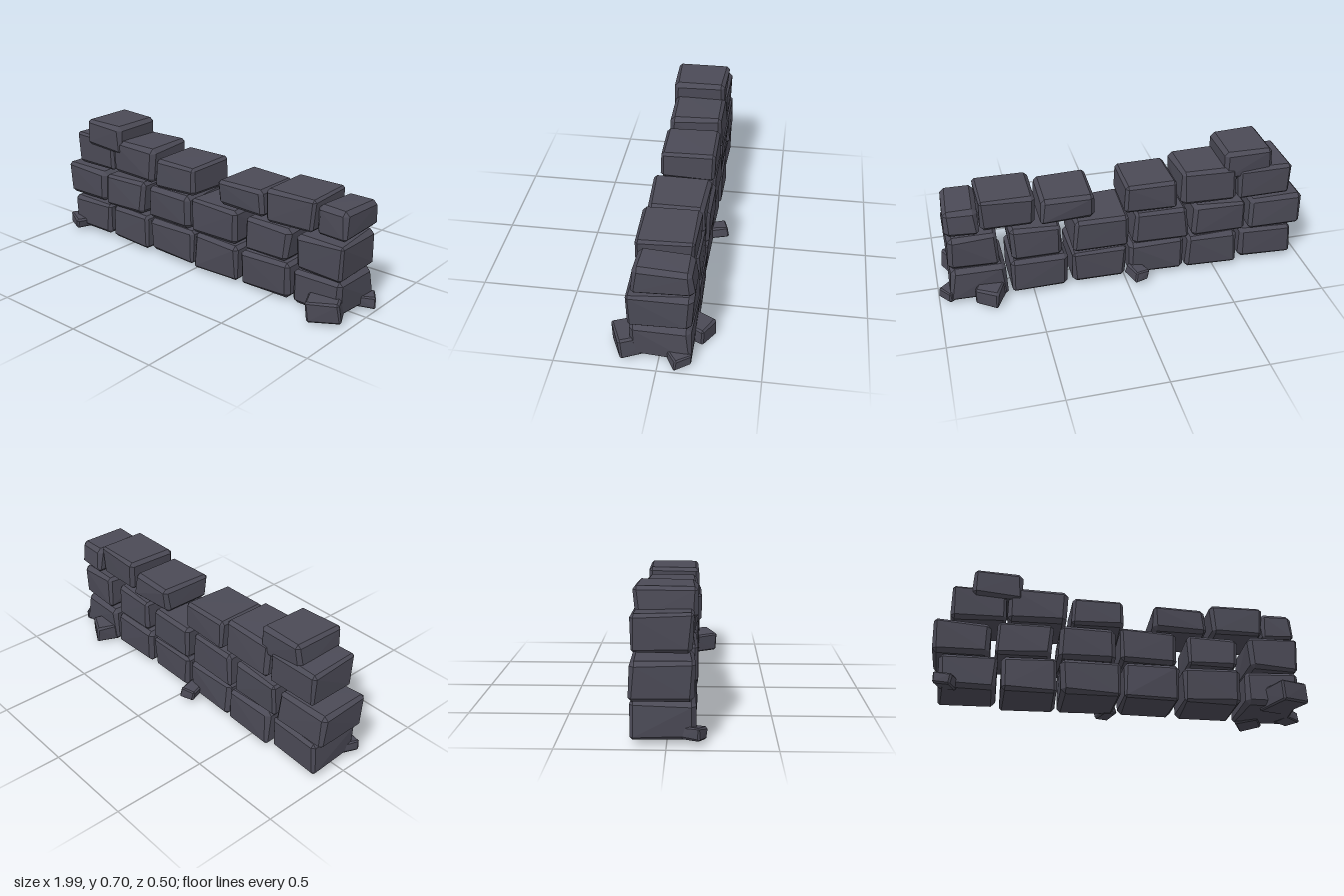
import * as THREE from 'three';
import { ConvexGeometry } from 'three/addons/geometries/ConvexGeometry.js';

// Small seeded generator for the rough-hewn corners
function makeRandom(seed) {
  return () => {
    seed = (seed * 16807) % 2147483647;
    return seed / 2147483647;
  };
}

// Box with slightly pulled-in corners, each cut back to three points (uneven chamfers)
function stoneGeometry(w, h, d, bevel, rough, random) {
  const points = [];
  for (const sx of [-1, 1]) for (const sy of [-1, 1]) for (const sz of [-1, 1]) {
    const x = w / 2 - random() * rough;
    const y = h / 2 - random() * rough * 0.6;
    const z = d / 2 - random() * rough;
    const b = bevel * (0.6 + random() * 0.8);
    points.push(
      new THREE.Vector3(sx * x, sy * (y - b), sz * (z - b)),
      new THREE.Vector3(sx * (x - b), sy * y, sz * (z - b)),
      new THREE.Vector3(sx * (x - b), sy * (y - b), sz * z),
    );
  }
  return new ConvexGeometry(points);
}

export function createModel() {
  const group = new THREE.Group();
  const random = makeRandom(4217);
  const stone = new THREE.MeshStandardMaterial({ color: 0x4b4a56, flatShading: true });
  stone.name = 'dark slate stone';

  // Courses of blocks: [left, right, bottom, top, back, front]
  const courses = {
    bottomCourse: [
      [-0.95, -0.645, 0.02, 0.21, -0.17, 0.14],
      [-0.64, -0.335, 0.015, 0.215, -0.17, 0.135],
      [-0.335, -0.01, 0.015, 0.215, -0.165, 0.14],
      [-0.01, 0.3, 0.015, 0.215, -0.17, 0.14],
      [0.305, 0.625, 0.015, 0.215, -0.165, 0.14],
      [0.635, 0.945, 0.015, 0.21, -0.17, 0.145],
    ],
    middleCourse: [
      [-1, -0.685, 0.21, 0.4, -0.175, 0.135],
      [-0.675, -0.365, 0.21, 0.405, -0.17, 0.145],
      [-0.35, -0.04, 0.21, 0.41, -0.175, 0.14],
      [-0.02, 0.285, 0.215, 0.41, -0.17, 0.14],
      [0.335, 0.62, 0.215, 0.4, -0.165, 0.14],
      [0.665, 0.945, 0.21, 0.405, -0.17, 0.16],
    ],
    upperCourse: [
      [-0.92, -0.61, 0.41, 0.6, -0.165, 0.13],
      [-0.62, -0.295, 0.41, 0.615, -0.17, 0.135],
      [-0.285, 0.01, 0.41, 0.575, -0.17, 0.14],
      [0.155, 0.455, 0.41, 0.56, -0.17, 0.14],
      [0.465, 0.765, 0.41, 0.59, -0.16, 0.145],
      [0.755, 0.945, 0.41, 0.565, -0.175, 0.125],
    ],
    topBlock: [[-0.81, -0.535, 0.535, 0.7, -0.16, 0.14]],
  };
  for (const [name, blocks] of Object.entries(courses)) {
    const course = new THREE.Group();
    course.name = name;
    blocks.forEach(([x0, x1, y0, y1, z0, z1], i) => {
      const geometry = stoneGeometry(x1 - x0, y1 - y0, z1 - z0, 0.018, 0.016, random);
      const block = new THREE.Mesh(geometry, stone);
      block.name = `${name}Stone${i + 1}`;
      block.position.set((x0 + x1) / 2, (y0 + y1) / 2, (z0 + z1) / 2);
      course.add(block);
    });
    group.add(course);
  }

  // Fallen rubble: name, size, position, yaw, roll
  const rubble = [
    ['frontLeftRubble', [0.18, 0.115, 0.21], [0.845, 0.066, 0.125], 0.42, 0.08],
    ['frontRightRubble', [0.115, 0.065, 0.11], [-0.905, 0.05, 0.12], -0.35, -0.18],
    ['leftEndRubble', [0.11, 0.065, 0.11], [0.93, 0.046, -0.1], 0.57, -0.06],
    ['backLeftRubble', [0.135, 0.1, 0.15], [0.735, 0.056, -0.168], -0.46, 0.08],
    ['backMiddleRubble', [0.09, 0.065, 0.13], [-0.06, 0.048, -0.172], 0.3, 0.08],
  ];
  for (const [name, size, position, yaw, roll] of rubble) {
    const piece = new THREE.Mesh(stoneGeometry(...size, 0.009, 0.01, random), stone);
    piece.name = name;
    piece.position.set(...position);
    piece.rotation.set(0, yaw, roll);
    group.add(piece);
  }
  return group;
}
